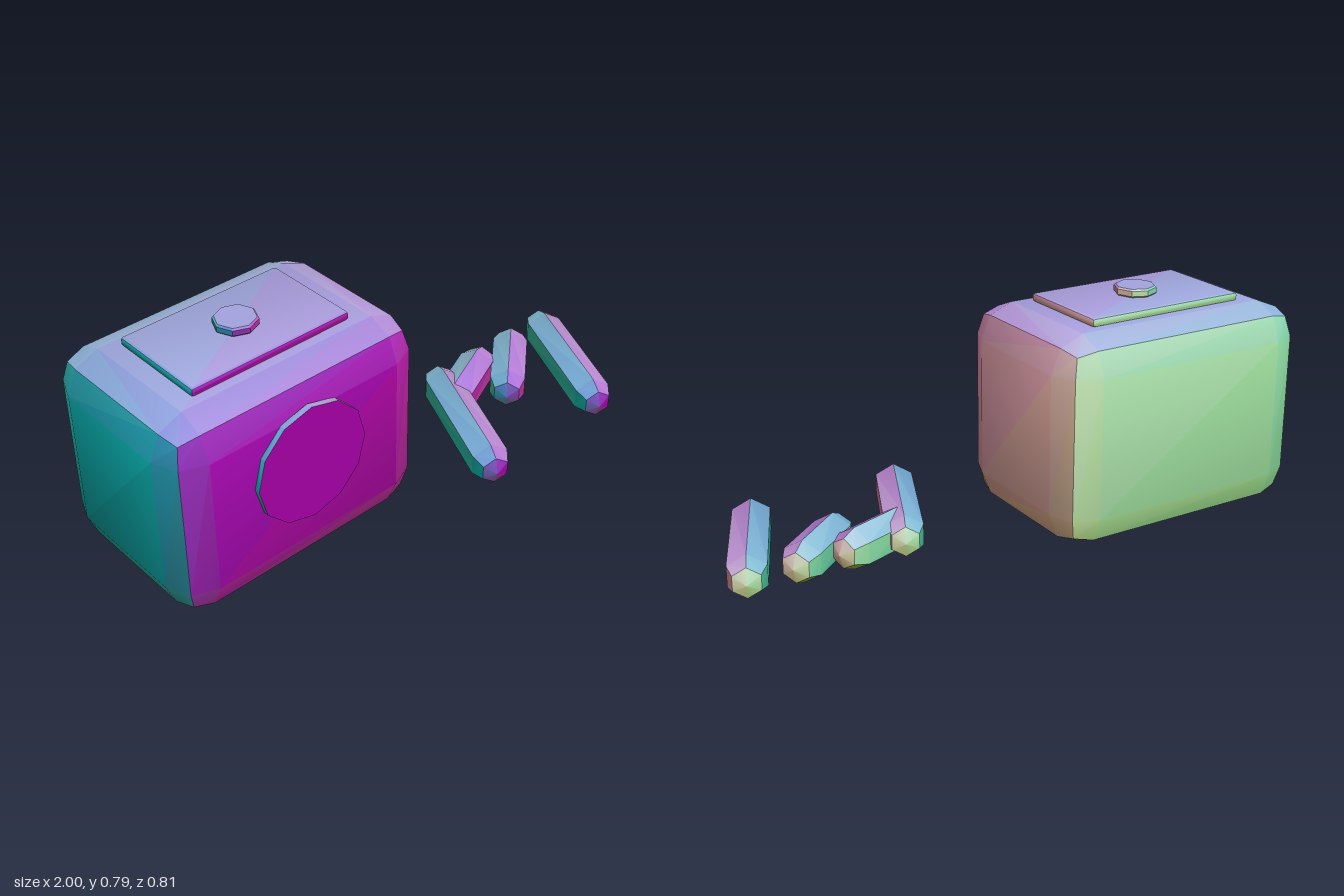
import * as THREE from 'three';
import { RoundedBoxGeometry } from 'three/addons/geometries/RoundedBoxGeometry.js';
import { toCreasedNormals } from 'three/addons/utils/BufferGeometryUtils.js';

const CREASE = 0.55;
const BRIGHTNESS = 0.75;

// one plain material for each colour
const palette = new Map();
function materialFor(color) {
  const key = color.getHex();
  if (!palette.has(key)) palette.set(key, new THREE.MeshStandardMaterial({ color }));
  return palette.get(key);
}

// every facet is coloured by the direction it faces:
// red to the left, green to the back, blue to the top
function part(parent, name, placed) {
  const geometry = toCreasedNormals(placed, CREASE);
  geometry.clearGroups();
  const normals = geometry.attributes.normal;
  const materials = [];
  const corner = new THREE.Vector3();
  for (let i = 0; i < normals.count; i += 3) {
    const n = new THREE.Vector3();
    for (let k = 0; k < 3; k++) n.add(corner.fromBufferAttribute(normals, i + k));
    n.normalize();
    const color = new THREE.Color().setRGB(
      BRIGHTNESS * (0.5 + n.x / 2),
      BRIGHTNESS * (0.5 - n.z / 2),
      BRIGHTNESS * (0.5 + n.y / 2),
    );
    const material = materialFor(color);
    if (!materials.includes(material)) materials.push(material);
    geometry.addGroup(i, 3, materials.indexOf(material));
  }
  const mesh = new THREE.Mesh(geometry, materials);
  mesh.name = name;
  parent.add(mesh);
}

// six-sided capsule lying between two cap centres, one ridge facing up
function capsule(start, end, radius) {
  const a = new THREE.Vector3(...start);
  const b = new THREE.Vector3(...end);
  const along = b.clone().sub(a);
  const length = along.length();
  along.normalize();
  const side = new THREE.Vector3(0, 1, 0).cross(along).normalize();
  const ridge = along.clone().cross(side);
  const placement = new THREE.Matrix4().makeBasis(ridge, along, side);
  placement.setPosition(a.add(b).multiplyScalar(0.5));
  return new THREE.CapsuleGeometry(radius, length, 2, 6).applyMatrix4(placement);
}

export function createModel() {
  const model = new THREE.Group();
  model.name = 'boxAndCapsules';

  // chunky box with bevelled edges, and a thin lid
  const box = new THREE.Group();
  box.name = 'box';
  model.add(box);
  const cx = -0.518, cz = -0.073;
  part(box, 'body', new RoundedBoxGeometry(0.963, 0.724, 0.664, 1, 0.12).translate(cx, 0.377, cz));
  part(box, 'lid', new RoundedBoxGeometry(0.6, 0.03, 0.362, 1, 0.01).translate(cx, 0.753, cz));

  // eight-sided knob with a chamfered rim
  const knobProfile = [[0, 0], [0.067, 0], [0.073, 0.006], [0.073, 0.024], [0.067, 0.03], [0, 0.03]]
    .map(([r, y]) => new THREE.Vector2(r, y));
  part(box, 'knob', new THREE.LatheGeometry(knobProfile, 8).translate(cx, 0.767, cz));

  // round plate on the front
  const disc = new THREE.CylinderGeometry(0.21, 0.21, 0.022, 12).rotateX(Math.PI / 2);
  part(box, 'frontDisc', disc.translate(cx, 0.438, 0.267));

  // four loose capsules: two long, two short
  const pieces = new THREE.Group();
  pieces.name = 'capsules';
  model.add(pieces);
  const front = 0.076, back = 0.085;
  [
    ['longCapsuleRight', [0.209, front, 0.338], [0.388, back, -0.075]],
    ['shortCapsuleRight', [0.37, front, 0.008], [0.571, back, -0.077]],
    ['shortCapsuleLeft', [0.573, front, 0.078], [0.749, back, -0.075]],
    ['longCapsuleLeft', [0.754, front, 0.326], [0.935, back, -0.075]],
  ].forEach(([name, a, b]) => part(pieces, name, capsule(a, b, 0.073)));

  return model;
}
